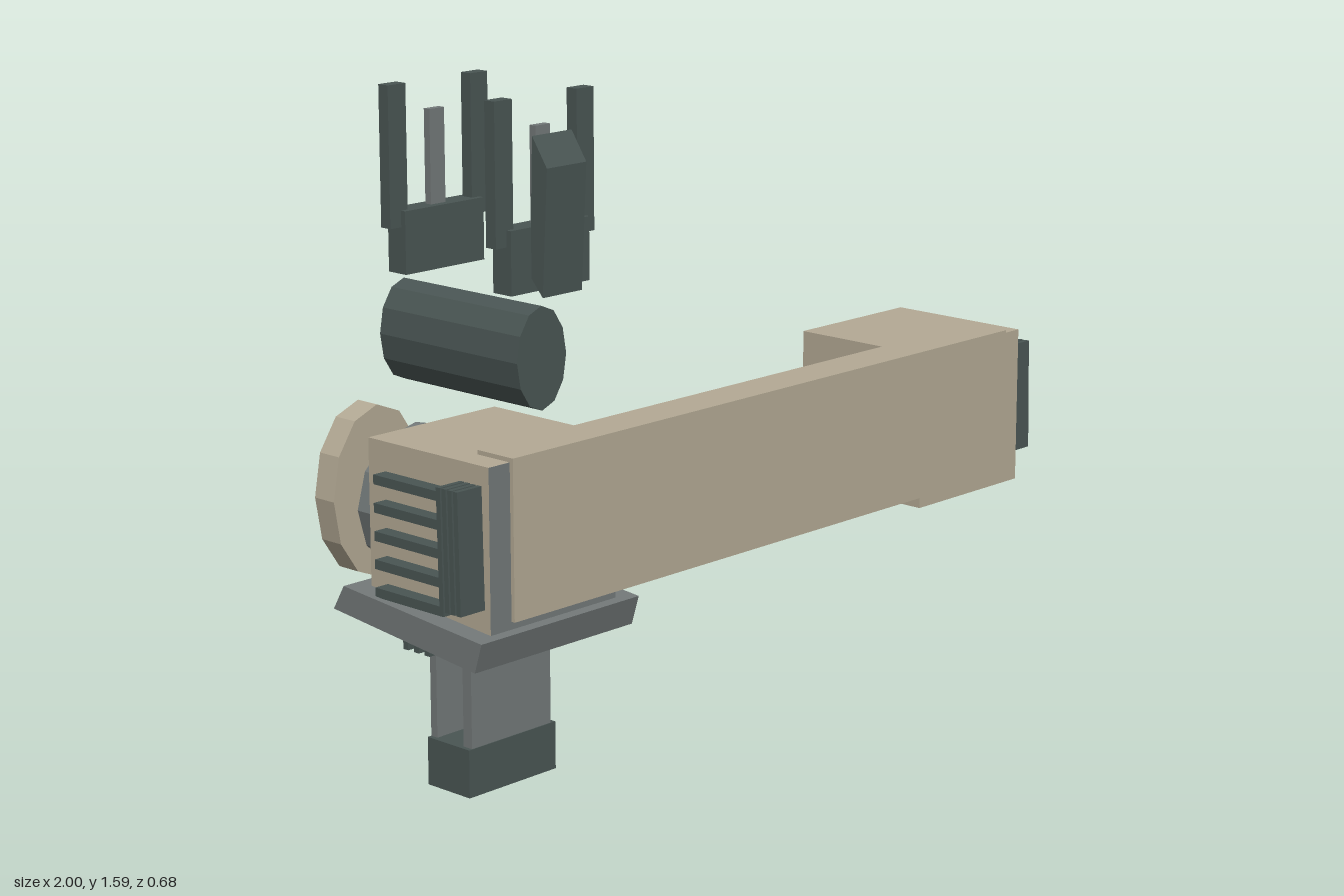
import * as THREE from 'three';

export function createModel() {
  const root = new THREE.Group();
  root.name = 'model';
  const flat = (name, color) => {
    const m = new THREE.MeshStandardMaterial({ color, flatShading: true });
    m.name = name;
    return m;
  };
  const tan = flat('tan', 0xb3a994);
  const grey = flat('grey', 0x727878);
  const dark = flat('darkSlate', 0x495553);

  const add = (name, geometry, material) => {
    const mesh = new THREE.Mesh(geometry, material);
    mesh.name = name;
    root.add(mesh);
    return mesh;
  };
  // box given by its limits on each axis
  const box = (name, mat, [x0, x1], [y0, y1], [z0, z1]) => {
    const mesh = add(name, new THREE.BoxGeometry(x1 - x0, y1 - y0, z1 - z0), mat);
    mesh.position.set((x0 + x1) / 2, (y0 + y1) / 2, (z0 + z1) / 2);
    return mesh;
  };
  // side outline of [z, y] points, extruded from x0 to x1
  const slab = (name, mat, x0, x1, points) => {
    const shape = new THREE.Shape(points.map(([z, y]) => new THREE.Vector2(-z, y)));
    const g = new THREE.ExtrudeGeometry(shape, { depth: x1 - x0, bevelEnabled: false });
    g.rotateY(Math.PI / 2);
    g.translate(x0, 0, 0);
    return add(name, g, mat);
  };
  // faceted elliptical cylinder lying along z
  const drum = (name, mat, rx, ry, y, z0, z1) => {
    const g = new THREE.CylinderGeometry(1, 1, z1 - z0, 12);
    g.rotateX(Math.PI / 2);
    g.scale(rx, ry, 1);
    g.translate(cx, y, (z0 + z1) / 2);
    return add(name, g, mat);
  };
  const cx = -0.74;

  // long beam and the block at its left end
  box('beam', tan, [-0.865, 0.86], [0.44, 0.81], [0.19, 0.3]);
  box('endBlock', tan, [0.54, 0.925], [0.41, 0.8], [-0.095, 0.29]);

  // housing at the right end: tan top and sides, grey front and back
  box('housing', [tan, tan, tan, grey, grey, grey], [-0.928, -0.54], [0.42, 0.8], [-0.095, 0.29]);

  // slatted vents on both ends
  for (const [x0, x1] of [[-1, -0.925], [0.92, 1]]) {
    for (let i = 0; i < 4; i++) {
      const slat = box('ventSlat', dark, [x0, x1], [0.477, 0.755], [0.203 + i * 0.018, 0.216 + i * 0.018]);
      slat.rotation.x = -0.02;
    }
  }

  // cooling ribs on both sides of the housing
  for (const [x0, x1] of [[-0.965, -0.925], [-0.545, -0.505]]) {
    for (let i = 0; i < 5; i++) {
      const y = 0.45 + i * 0.065;
      box('coolingRib', dark, [x0, x1], [y, y + 0.022], [-0.04, 0.18]);
    }
  }

  // rear collar and floating rear disc
  drum('rearCollar', grey, 0.18, 0.172, 0.62, -0.145, -0.09);
  drum('rearDisc', tan, 0.137, 0.206, 0.605, -0.34, -0.275);

  // tilted plate with strips beneath
  slab('basePlate', grey, -0.98, -0.49, [[0.315, 0.42], [0.293, 0.35], [-0.165, 0.4], [-0.13, 0.46]]);
  for (const z of [0.065, 0.03, -0.005]) {
    box('underStrip', dark, [-0.91, -0.565], [0.322, 0.39], [z - 0.008, z + 0.008]);
  }

  // grip: two plates, a foot and the lever between
  box('gripPlateFront', grey, [-0.862, -0.615], [0.1, 0.38], [0.128, 0.155]);
  box('gripPlateBack', grey, [-0.862, -0.615], [0.07, 0.39], [0.022, 0.042]);
  box('gripFoot', dark, [-0.873, -0.602], [0, 0.113], [0.022, 0.157]);
  slab('lever', grey, cx - 0.025, cx + 0.025, [[0.085, 0.38], [0.098, 0.38], [0.106, 0.2], [0.09, 0.175]]);

  // upper drum
  drum('upperDrum', dark, 0.075, 0.117, 1.005, -0.175, 0.265);

  // two forked uprights
  for (const z of [-0.066, 0.266]) {
    box('forkBase', dark, [-0.857, -0.62], [1.165, 1.307], [z - 0.028, z + 0.028]);
    box('forkPin', grey, [cx - 0.022, cx + 0.022], [1.3, 1.52], [z - 0.009, z + 0.009]);
    for (const s of [-1, 1]) {
      const x = cx + s * 0.123;
      box('forkProng', dark, [x - 0.026, x + 0.026], [1.27, 1.587], [z - 0.015, z + 0.015]);
    }
  }

  // slanted block in front of the forward fork
  slab('slantedBlock', dark, -0.797, -0.678, [[0.3, 1.505], [0.344, 1.44], [0.328, 1.157], [0.29, 1.2]]);

  return root;
}
